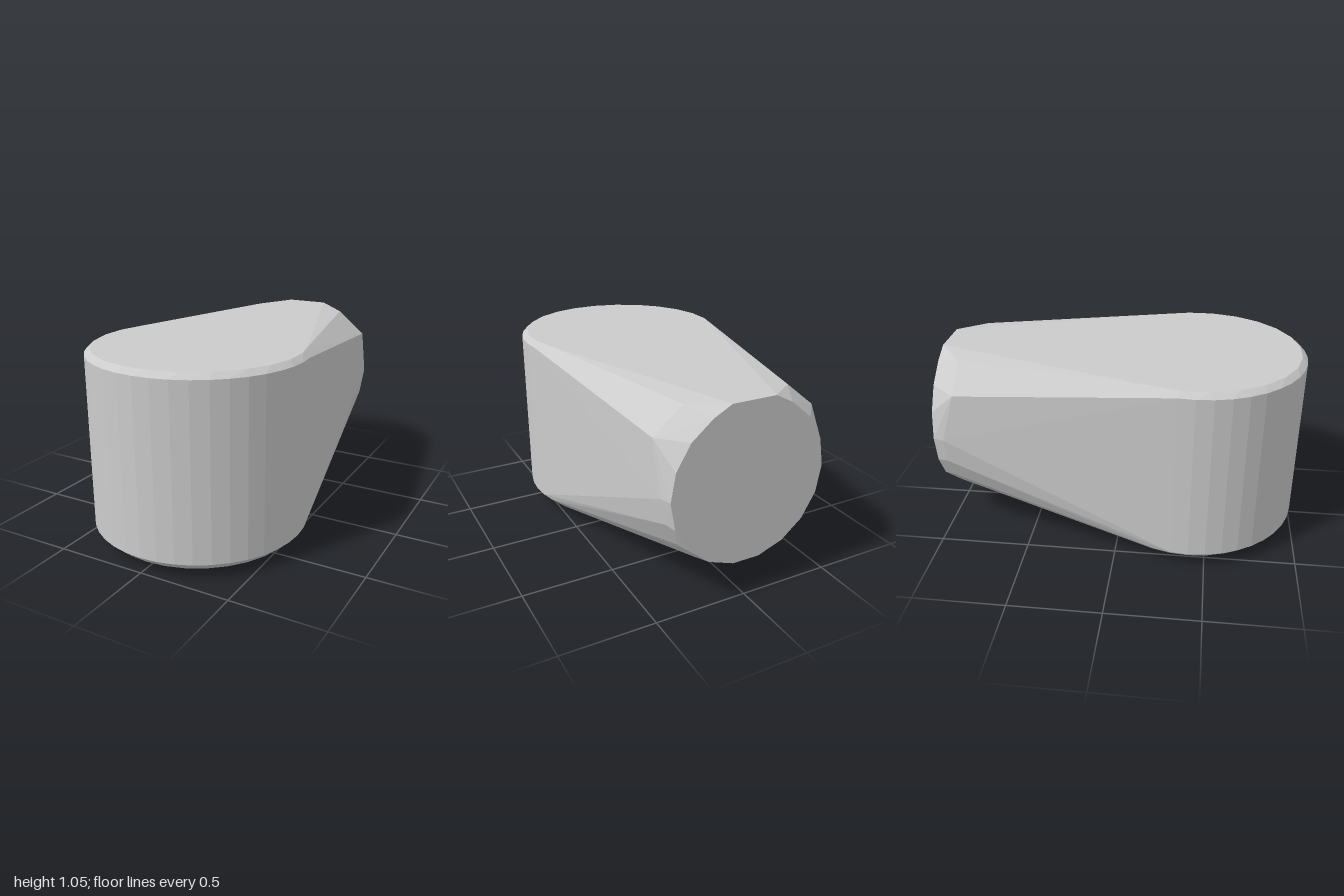
import * as THREE from 'three';
import { ConvexGeometry } from 'three/addons/geometries/ConvexGeometry.js';

// Points of a circle: horizontal at height y, or upright at depth z
function ring(count, radius, place, phase = 0) {
  return Array.from({ length: count }, (_, i) => {
    const a = ((i + phase) / count) * Math.PI * 2;
    return place(radius * Math.cos(a), radius * Math.sin(a));
  });
}
const flat = (y) => (u, v) => new THREE.Vector3(u, y, 0.41 + v);
const upright = (z) => (u, v) => new THREE.Vector3(u, 0.627 + v, z);

export function createModel() {
  const group = new THREE.Group();
  group.name = 'taperedBlock';

  const points = [
    // rounded front end: bottom bevel, wall, top bevel
    ...ring(32, 0.47, flat(0)),
    ...ring(32, 0.535, flat(0.035)),
    ...ring(40, 0.59, flat(0.085)),
    ...ring(40, 0.59, flat(1.022)),
    ...ring(24, 0.56, flat(1.05), 0.5),
    // round rear face, with a wider rim around its lower half
    ...ring(18, 0.43, upright(-1), 0).map((p) => p.setY(Math.min(p.y, 1.05))),
    ...ring(20, 0.448, upright(-0.94)).filter((p) => p.y < 0.64),
  ];
  // bevelled upper rear shoulders
  for (const s of [-1, 1]) {
    points.push(
      new THREE.Vector3(s * 0.12, 1.05, -1),
      new THREE.Vector3(s * 0.29, 1.03, -0.86),
      new THREE.Vector3(s * 0.45, 0.9, -0.86),
    );
  }

  const body = new THREE.Mesh(
    new ConvexGeometry(points),
    new THREE.MeshStandardMaterial({ color: 0xcccccc, flatShading: true }),
  );
  body.name = 'body';
  group.add(body);
  return group;
}
